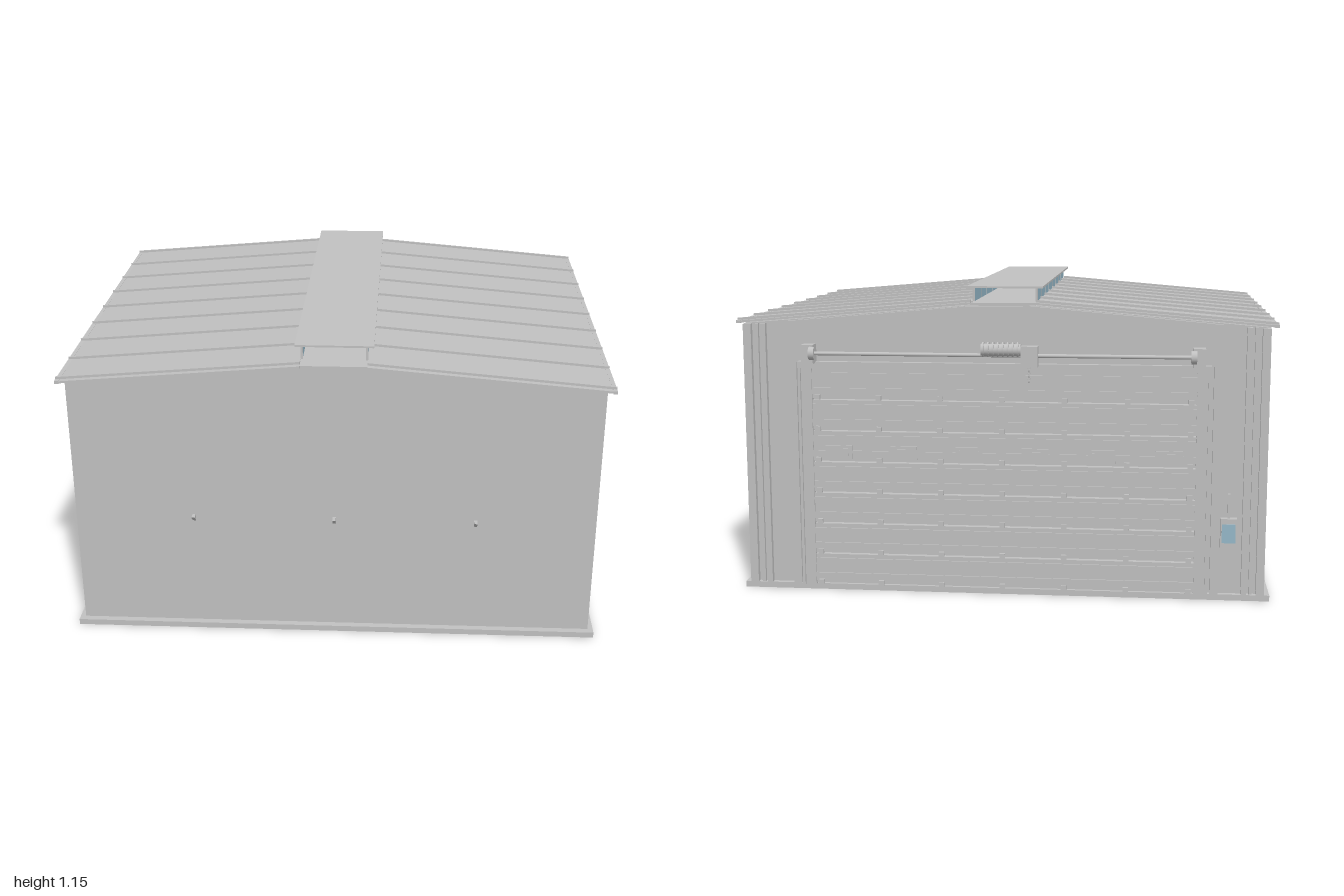
import * as THREE from 'three';

export function createModel() {
  const root = new THREE.Group();
  root.name = 'industrialGarage';
  const mat = (name, color, side = THREE.FrontSide) => {
    const m = new THREE.MeshStandardMaterial({ color, side });
    m.name = name;
    return m;
  };
  const grey = mat('lightGrey', 0xc0c0c0);
  const glass = mat('paleBlueGlass', 0x95b8c8, THREE.DoubleSide);

  const add = (name, geo, m = grey, parent = root) => {
    const mesh = new THREE.Mesh(geo, m);
    mesh.name = name;
    parent.add(mesh);
    return mesh;
  };
  // Box given by its limits on each axis
  const box = (name, x0, x1, y0, y1, z0, z1, m = grey, parent = root) => {
    const mesh = add(name, new THREE.BoxGeometry(x1 - x0, y1 - y0, z1 - z0), m, parent);
    mesh.position.set((x0 + x1) / 2, (y0 + y1) / 2, (z0 + z1) / 2);
    return mesh;
  };
  // Outline in x,y pushed along z
  const prism = (name, pts, z0, z1, m = grey, parent = root) => {
    const shape = new THREE.Shape(pts.map(p => new THREE.Vector2(p[0], p[1])));
    const geo = new THREE.ExtrudeGeometry(shape, { depth: z1 - z0, bevelEnabled: false });
    geo.translate(0, 0, z0);
    return add(name, geo, m, parent);
  };
  // Cylinder lying along x
  const rod = (name, r, x0, x1, y, z, parent, sides = 16) => {
    const geo = new THREE.CylinderGeometry(r, r, x1 - x0, sides);
    geo.rotateZ(Math.PI / 2);
    const mesh = add(name, geo, grey, parent);
    mesh.position.set((x0 + x1) / 2, y, z);
    return mesh;
  };

  // Floor slab and gabled hall
  box('floorSlab', -0.99, 0.99, 0, 0.022, -0.775, 0.855);
  prism('hallWalls', [[-0.97, 0.022], [0.97, 0.022], [0.97, 1.012], [0.12, 1.084], [-0.12, 1.084], [-0.97, 1.012]], -0.755, 0.83);

  // Roof halves with standing seams
  const slope = (x, lift) => 1.1 - (Math.abs(x) - 0.12) * 0.085 + lift;
  for (const s of [-1, 1]) {
    const strip = (lo, hi) => [[s * 0.12, slope(0.12, lo)], [s, slope(1, lo)], [s, slope(1, hi)], [s * 0.12, slope(0.12, hi)]];
    prism('roofPanel', strip(-0.013, -0.005), -0.76, 0.86);
    for (let i = 0; i < 9; i++) {
      const z = 0.835 - i * 0.196;
      prism('roofSeam', strip(-0.005, 0.004), z - 0.004, z + 0.004);
    }
    box('eaveTrim', s * 0.9925 - 0.0075, s * 0.9925 + 0.0075, 1.011, 1.022, -0.76, 0.86);
  }

  // Ridge skylight, open at its ends
  const skylight = new THREE.Group();
  skylight.name = 'ridgeSkylight';
  root.add(skylight);
  box('skylightCurb', -0.12, 0.12, 1.08, 1.093, -0.75, 0.85, grey, skylight);
  box('skylightCap', -0.142, 0.142, 1.143, 1.15, -0.695, 0.793, grey, skylight);
  for (const s of [-1, 1]) {
    box('skylightGlass', s * 0.117 - 0.003, s * 0.117 + 0.003, 1.093, 1.143, -0.67, 0.78, glass, skylight);
    for (let i = 0; i < 9; i++) {
      const z = 0.78 - i * 0.18125;
      box('skylightMullion', s * 0.117 - 0.004, s * 0.117 + 0.004, 1.093, 1.143, z - 0.004, z + 0.004, grey, skylight);
    }
  }

  // Framed side windows
  for (const s of [-1, 1]) for (const z of [0.515, 0.115, -0.2925]) {
    const win = new THREE.Group();
    win.name = 'sideWindow';
    win.position.set(s * 0.97, 0.8225, z);
    root.add(win);
    box('windowPane', -0.004, 0.004, -0.058, 0.058, -0.13, 0.13, glass, win);
    for (const e of [-1, 1]) {
      box('windowRail', -0.007, 0.007, e * 0.06 - 0.004, e * 0.06 + 0.004, -0.136, 0.136, grey, win);
      box('windowStile', -0.007, 0.007, -0.064, 0.064, e * 0.132 - 0.004, e * 0.132 + 0.004, grey, win);
    }
  }

  // Wall hooks on the front
  for (const x of [-0.525, 0, 0.525]) {
    const hook = prism('wallHook', [[0, 0.455], [0.03, 0.482], [0, 0.482]], -0.006, 0.006);
    hook.rotation.y = -Math.PI / 2;
    hook.position.set(x, 0, 0.83);
  }

  // Corner columns and rear posts
  for (const s of [-1, 1]) {
    const post = (name, x, w, z0, z1, y1) => box(name, s * x - w / 2, s * x + w / 2, 0.022, y1, z0, z1);
    post('cornerTrim', 0.97, 0.006, -0.73, -0.69, 1.01);
    post('cornerColumn', 0.955, 0.03, -0.775, -0.75, 1.01);
    post('columnWeb', 0.92, 0.012, -0.768, -0.75, 1.012);
    post('columnFlange', 0.895, 0.02, -0.775, -0.75, 1.013);
    post('innerPost', 0.785, 0.03, -0.775, -0.75, 1.022);
  }
  prism('gablePanel', [[-0.77, 0.87], [0.77, 0.87], [0.77, 1.025], [0.12, 1.082], [-0.12, 1.082], [-0.77, 1.025]], -0.775, -0.75);

  // Sectional door with ribs
  const door = new THREE.Group();
  door.name = 'sectionalDoor';
  root.add(door);
  const step = 0.118;
  for (let i = 0; i < 7; i++) {
    const y = 0.028 + i * step;
    box('doorSection', -0.71, 0.71, y, y + step - 0.006, -0.782, -0.75, grey, door);
    for (const f of [0.028, 0.085])
      box('doorRib', -0.71, 0.71, y + f - 0.012, y + f + 0.012, -0.788, -0.78, grey, door);
    for (let k = 0; k < 7; k++) {
      const x = -0.69 + k * 0.23;
      box('doorHinge', x - 0.01, x + 0.01, y - 0.004, y + 0.014, -0.793, -0.78, grey, door);
    }
  }
  // Row of small framed door lights
  for (let k = 0; k < 6; k++) {
    const x = -0.6125 + k * 0.245;
    box('doorLight', x - 0.05, x + 0.05, 0.51, 0.56, -0.793, -0.785, grey, door);
    box('doorLightInset', x - 0.036, x + 0.036, 0.521, 0.549, -0.796, -0.79, grey, door);
  }
  box('doorHeader', -0.76, 0.76, 0.85, 0.875, -0.8, -0.75, grey, door);
  for (const s of [-1, 1]) {
    box('doorTrack', s * 0.735 - 0.025, s * 0.735 + 0.025, 0.022, 0.85, -0.79, -0.75, grey, door);
    box('trackLip', s * 0.755 - 0.005, s * 0.755 + 0.005, 0.022, 0.85, -0.8, -0.78, grey, door);
  }

  // Door shaft, end drums, motor and hand chain
  const drive = new THREE.Group();
  drive.name = 'doorDrive';
  root.add(drive);
  rod('driveShaft', 0.007, -0.7, 0.7, 0.91, -0.833, drive);
  for (const s of [-1, 1]) {
    rod('cableDrum', 0.024, s * 0.695 - 0.01, s * 0.695 + 0.01, 0.91, -0.833, drive, 20);
    box('shaftBracket', s * 0.715 - 0.022, s * 0.715 + 0.022, 0.87, 0.94, -0.83, -0.77, grey, drive);
  }
  box('gearbox', -0.137, -0.075, 0.87, 0.945, -0.855, -0.808, grey, drive);
  box('motorBracket', -0.12, 0.06, 0.9, 0.92, -0.82, -0.77, grey, drive);
  rod('motorBody', 0.022, -0.075, 0.07, 0.93, -0.834, drive, 20);
  for (let i = 0; i < 8; i++) {
    const x = -0.064 + i * 0.018;
    rod('coolingFin', 0.027, x - 0.003, x + 0.003, 0.932, -0.834, drive, 20);
  }
  for (let i = 0; i < 6; i++) {
    const link = add('chainLink', new THREE.TorusGeometry(0.005, 0.0015, 6, 10), grey, drive);
    link.position.set(-0.106, 0.82 + i * 0.01, -0.853);
    link.rotation.y = i % 2 ? 0 : Math.PI / 2;
  }

  // Control box with its conduit
  const control = new THREE.Group();
  control.name = 'doorControl';
  root.add(control);
  box('controlBox', -0.865, -0.805, 0.2, 0.31, -0.782, -0.75, grey, control);
  box('controlPanel', -0.86, -0.81, 0.22, 0.29, -0.785, -0.78, glass, control);
  box('conduit', -0.839, -0.831, 0.31, 0.4, -0.768, -0.75, grey, control);

  return root;
}
